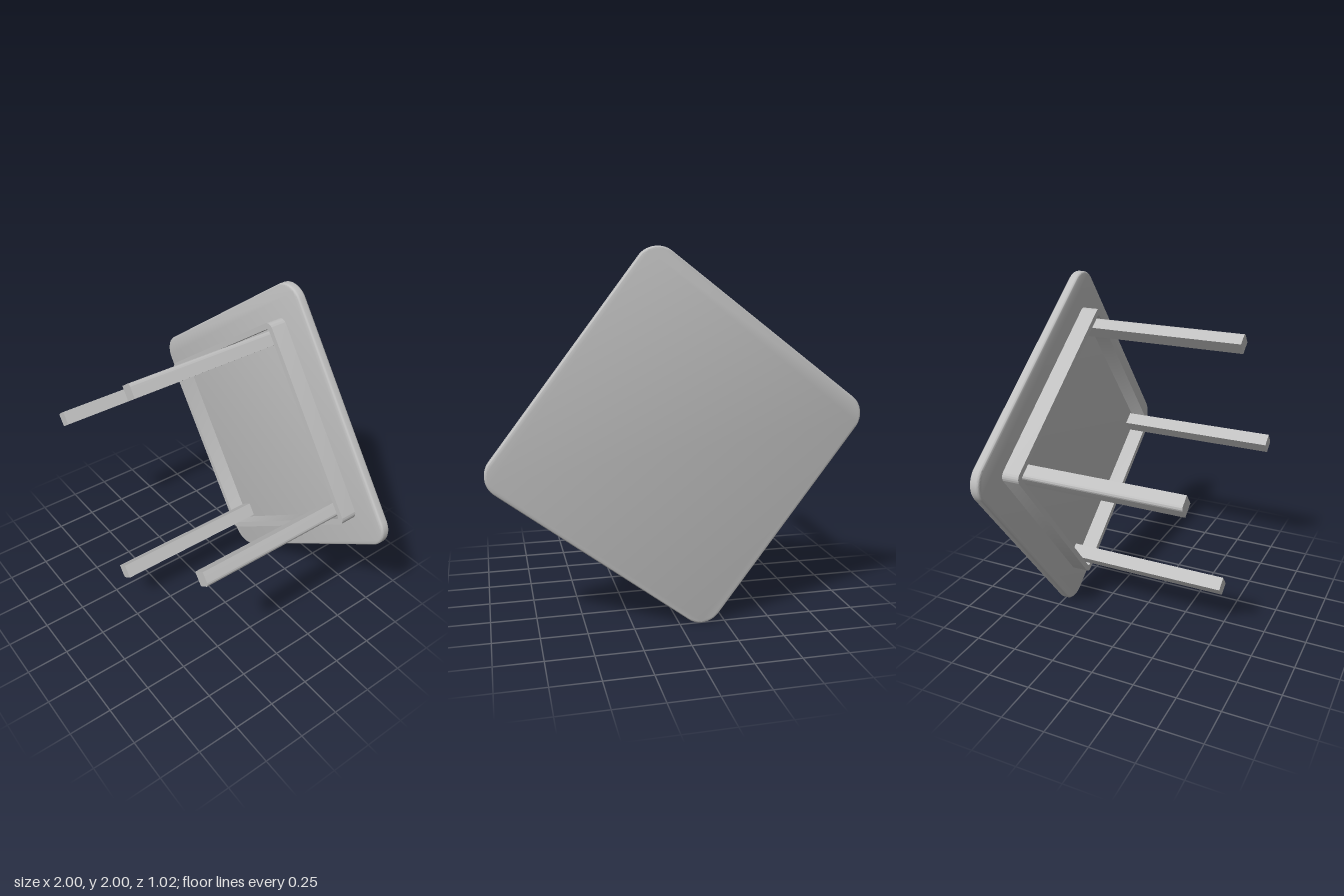
import * as THREE from 'three';
import { toCreasedNormals } from 'three/addons/utils/BufferGeometryUtils.js';

// Square of half size h; r gives the corner radii (++, -+, --, +-)
function roundedSquare(h, r, Path = THREE.Shape) {
  const p = new Path();
  const corners = [[1, 1], [-1, 1], [-1, -1], [1, -1]];
  corners.forEach(([sx, sy], i) => {
    const q = r[i], a = Math.PI / 4 + i * Math.PI / 2;
    if (q > 0) p.absarc(sx * (h - q), sy * (h - q), q, a - Math.PI / 4, a + Math.PI / 4, false);
    else if (i === 0) p.moveTo(sx * h, sy * h);
    else p.lineTo(sx * h, sy * h);
  });
  p.closePath();
  return p;
}

function extrude(shape, z0, z1, bevel = 0) {
  const geo = new THREE.ExtrudeGeometry(shape, {
    depth: z1 - z0 - 2 * bevel, curveSegments: 10,
    bevelEnabled: bevel > 0, bevelSize: bevel, bevelThickness: bevel, bevelSegments: 4,
  });
  geo.translate(0, 0, z0 + bevel);
  return toCreasedNormals(geo, 0.6);
}

export function createModel() {
  const grey = new THREE.MeshStandardMaterial({ color: 0xbfbfbf });
  grey.name = 'plain grey';

  const model = new THREE.Group();
  model.name = 'table';
  const add = (name, geo) => {
    const mesh = new THREE.Mesh(geo, grey);
    mesh.name = name;
    model.add(mesh);
    return mesh;
  };

  // Table top with softened edges
  const bevel = 0.014;
  add('tableTop', extrude(roundedSquare(0.748 - bevel, Array(4).fill(0.12 - bevel)), -0.512, -0.457, bevel));

  // Hollow apron under the top
  const apron = roundedSquare(0.581, Array(4).fill(0.04));
  apron.holes.push(roundedSquare(0.549, Array(4).fill(0.015), THREE.Path));
  add('apron', extrude(apron, -0.457, -0.36));

  // Four legs, each with its outer corner rounded
  const legGeo = extrude(roundedSquare(0.04, [0.02, 0, 0, 0]), -0.457, 0.512);
  legGeo.translate(0.497, 0.497, 0);
  for (let i = 0; i < 4; i++) add('leg' + (i + 1), legGeo).rotation.z = i * Math.PI / 2;

  // The table lies on its side, balanced on one corner of the top
  model.rotation.z = THREE.MathUtils.degToRad(37.2);
  model.position.y = 1;
  const root = new THREE.Group();
  root.name = 'tippedTable';
  root.add(model);
  return root;
}
